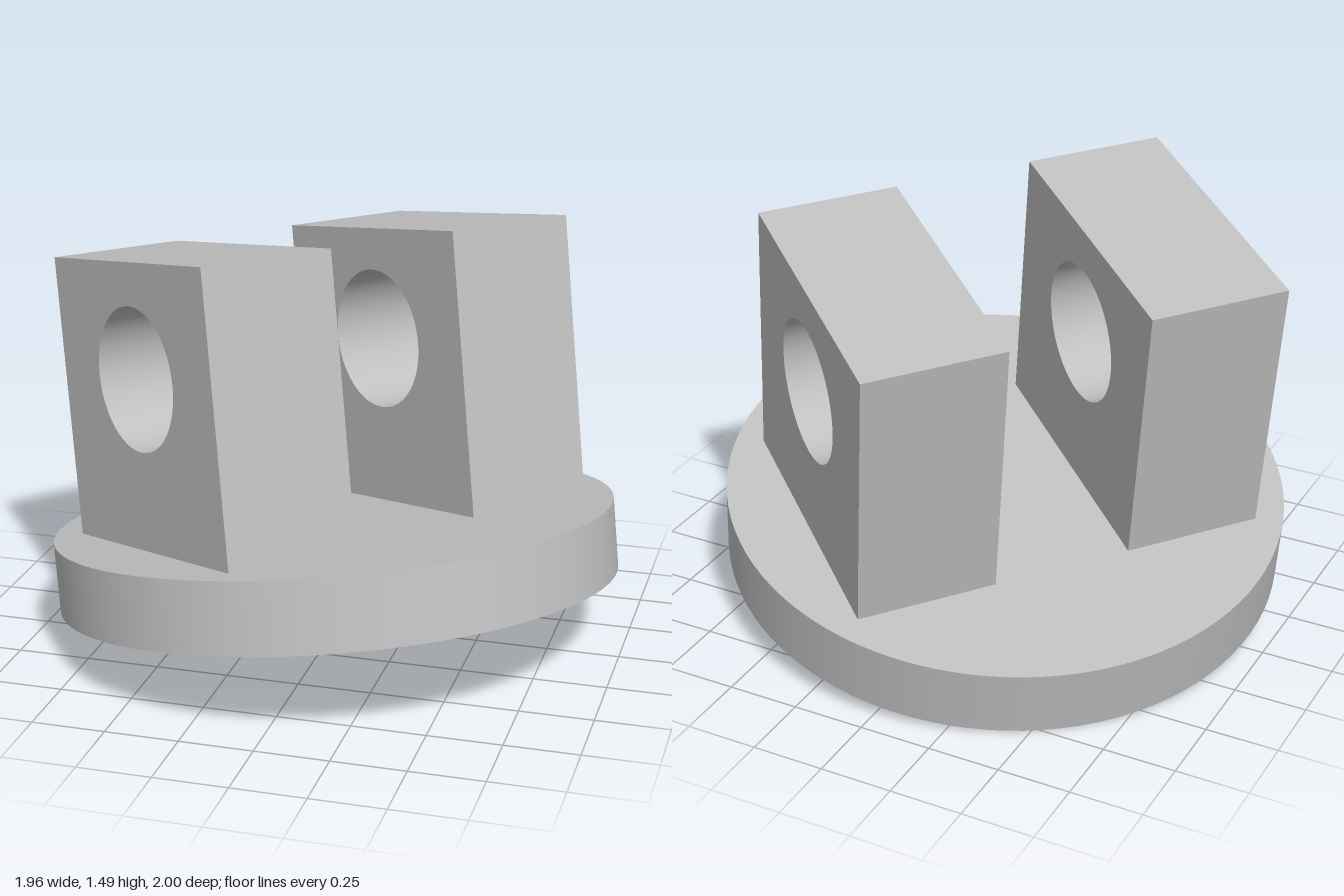
import * as THREE from 'three';
import { toCreasedNormals } from 'three/addons/utils/BufferGeometryUtils.js';

const RADIUS = 0.972, BASE = 0.243;            // base disc
const WIDTH = 0.972, HEIGHT = 0.968, DEPTH = 0.486; // lugs
const HOLE_R = 0.243, HOLE_Y = 0.58;

// Upright plate with a round bore, thickness along x
function lugGeometry() {
  const w = WIDTH / 2;
  const shape = new THREE.Shape();
  shape.moveTo(-w, 0);
  shape.lineTo(w, 0);
  shape.lineTo(w, HEIGHT);
  shape.lineTo(-w, HEIGHT);
  shape.closePath();
  const hole = new THREE.Path();
  hole.absarc(0, HOLE_Y, HOLE_R, 0, Math.PI * 2, true);
  shape.holes.push(hole);
  const geo = new THREE.ExtrudeGeometry(shape, { depth: DEPTH, bevelEnabled: false, curveSegments: 48 });
  geo.translate(0, 0, -DEPTH / 2);
  geo.rotateY(Math.PI / 2);
  return toCreasedNormals(geo, 0.5);
}

export function createModel() {
  const model = new THREE.Group();
  model.name = 'clevisBracket';
  const grey = new THREE.MeshStandardMaterial({ color: 0xc0c0c0 });
  grey.name = 'light grey';

  // Round base
  const base = new THREE.Mesh(new THREE.CylinderGeometry(RADIUS, RADIUS, BASE, 96), grey);
  base.name = 'baseDisc';
  base.position.y = BASE / 2;

  // Pair of bored lugs
  const bracket = new THREE.Group();
  bracket.name = 'tiltedBracket';
  bracket.add(base);
  const geo = lugGeometry();
  for (const side of [-1, 1]) {
    const lug = new THREE.Mesh(geo, grey);
    lug.name = side < 0 ? 'frontLug' : 'backLug';
    lug.position.set(side * DEPTH, BASE, 0);
    bracket.add(lug);
  }

  // Whole bracket leans: its axis and the bore direction set the orientation
  const up = new THREE.Vector3(-0.1247, 0.9816, -0.1443).normalize();
  const bore = new THREE.Vector3(0.642, -0.031, -0.766);
  const along = new THREE.Vector3().crossVectors(bore, up).normalize();
  bore.crossVectors(up, along);
  bracket.quaternion.setFromRotationMatrix(new THREE.Matrix4().makeBasis(bore, up, along));
  bracket.position.set(0.014, 0.186, 0.038);

  model.add(bracket);
  return model;
}
